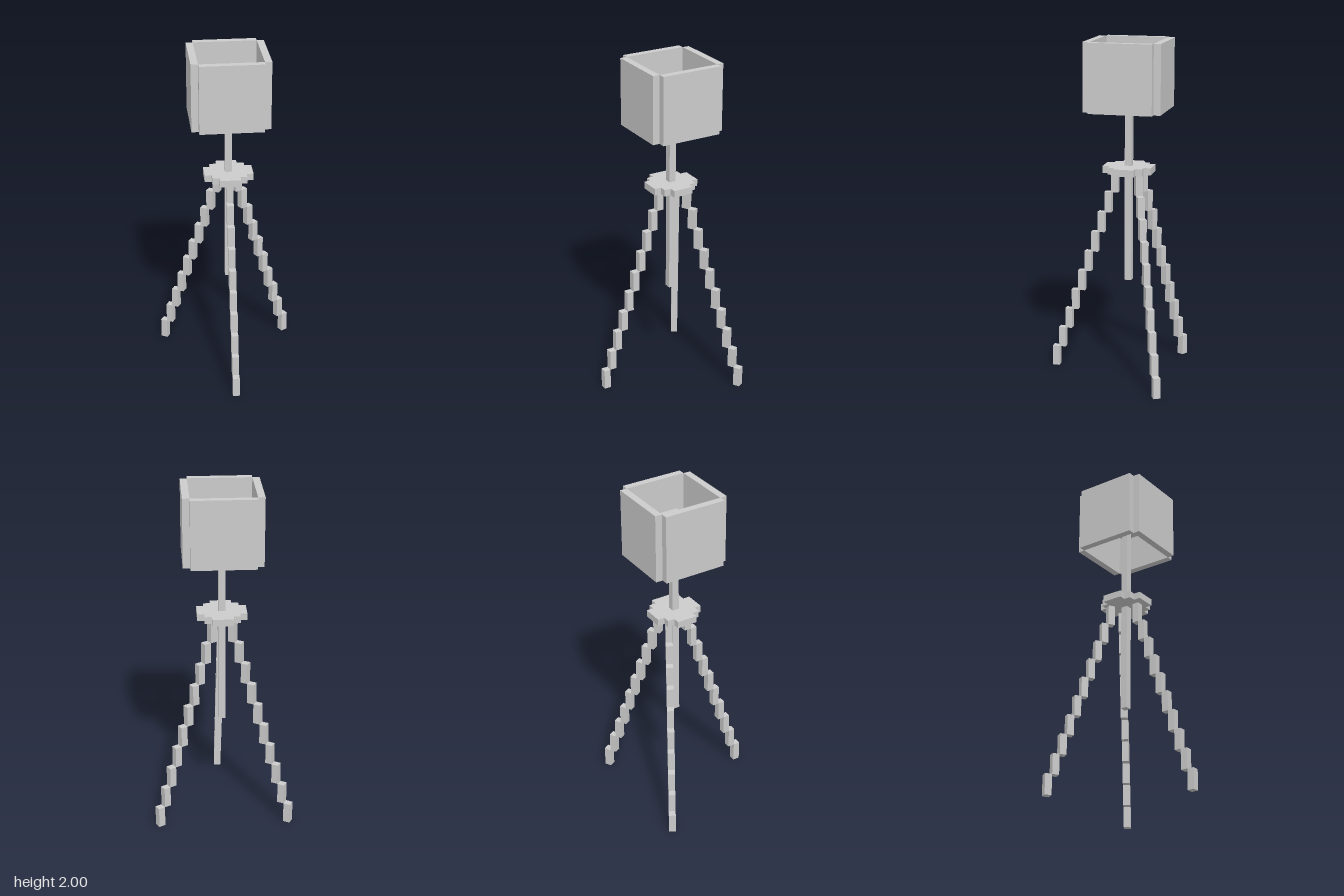
import * as THREE from 'three';

const U = 0.041;          // basic block size
const CZ = -0.0935;       // z of the pole axis
const PLATE_Y = 30 * U;   // underside of the plate, top of the legs

const material = new THREE.MeshStandardMaterial({ color: 0xcccccc, flatShading: true });

function box(name, w, h, d, x, y, z) {
  const mesh = new THREE.Mesh(new THREE.BoxGeometry(w, h, d), material);
  mesh.name = name;
  mesh.position.set(x, y, z);
  return mesh;
}

// Stepped leg running outward along its local +z
function makeLeg(name, topOffset) {
  const leg = new THREE.Group();
  leg.name = name;
  const h = 3 * U;
  for (let i = 0; i < 10; i++) {
    leg.add(box('legBlock', U, h, U, 0, PLATE_Y - (i + 0.5) * h, topOffset + i * U));
  }
  return leg;
}

// Round-ish plate with a stepped outline
function makePlate() {
  const [a, b, c] = [1.5 * U, 2.5 * U, 3.5 * U];
  const quarter = [[c, a], [b, a], [b, b], [a, b], [a, c]];
  const points = [];
  for (let q = 0; q < 4; q++) {
    for (const [x, y] of quarter) {
      points.push(new THREE.Vector2(x, y).rotateAround(new THREE.Vector2(), q * Math.PI / 2));
    }
  }
  const geometry = new THREE.ExtrudeGeometry(new THREE.Shape(points), { depth: U, bevelEnabled: false });
  geometry.rotateX(-Math.PI / 2);
  const plate = new THREE.Mesh(geometry, material);
  plate.name = 'plate';
  plate.position.set(0, PLATE_Y, CZ);
  return plate;
}

export function createModel() {
  const model = new THREE.Group();
  model.name = 'tripodLamp';

  // Three legs
  const frontLeg = makeLeg('frontLeg', 2 * U);
  frontLeg.position.z = CZ;
  model.add(frontLeg);
  for (const side of [1, -1]) {
    const leg = makeLeg(side > 0 ? 'backLeftLeg' : 'backRightLeg', 0.0695);
    leg.position.z = -0.1306;
    leg.rotation.y = side * Math.PI * 2 / 3;
    model.add(leg);
  }

  // Plate, pole and bulb
  model.add(makePlate());
  const poleBottom = 0.578, poleTop = 1.743;
  model.add(box('pole', U, poleTop - poleBottom, U, 0, (poleTop + poleBottom) / 2, CZ));
  model.add(box('bulb', 3 * U, 3 * U, 3 * U, 0, poleTop + 1.5 * U, CZ));

  // Shade: four walls, open above and below
  const shade = new THREE.Group();
  shade.name = 'shade';
  shade.position.set(0, 1.8, CZ);
  for (let i = 0; i < 4; i++) {
    const angle = i * Math.PI / 2;
    const wall = box('shadeWall', 9 * U, 0.4, U, Math.sin(angle) * 5 * U, 0, Math.cos(angle) * 5 * U);
    wall.rotation.y = angle;
    shade.add(wall);
  }
  model.add(shade);

  return model;
}
